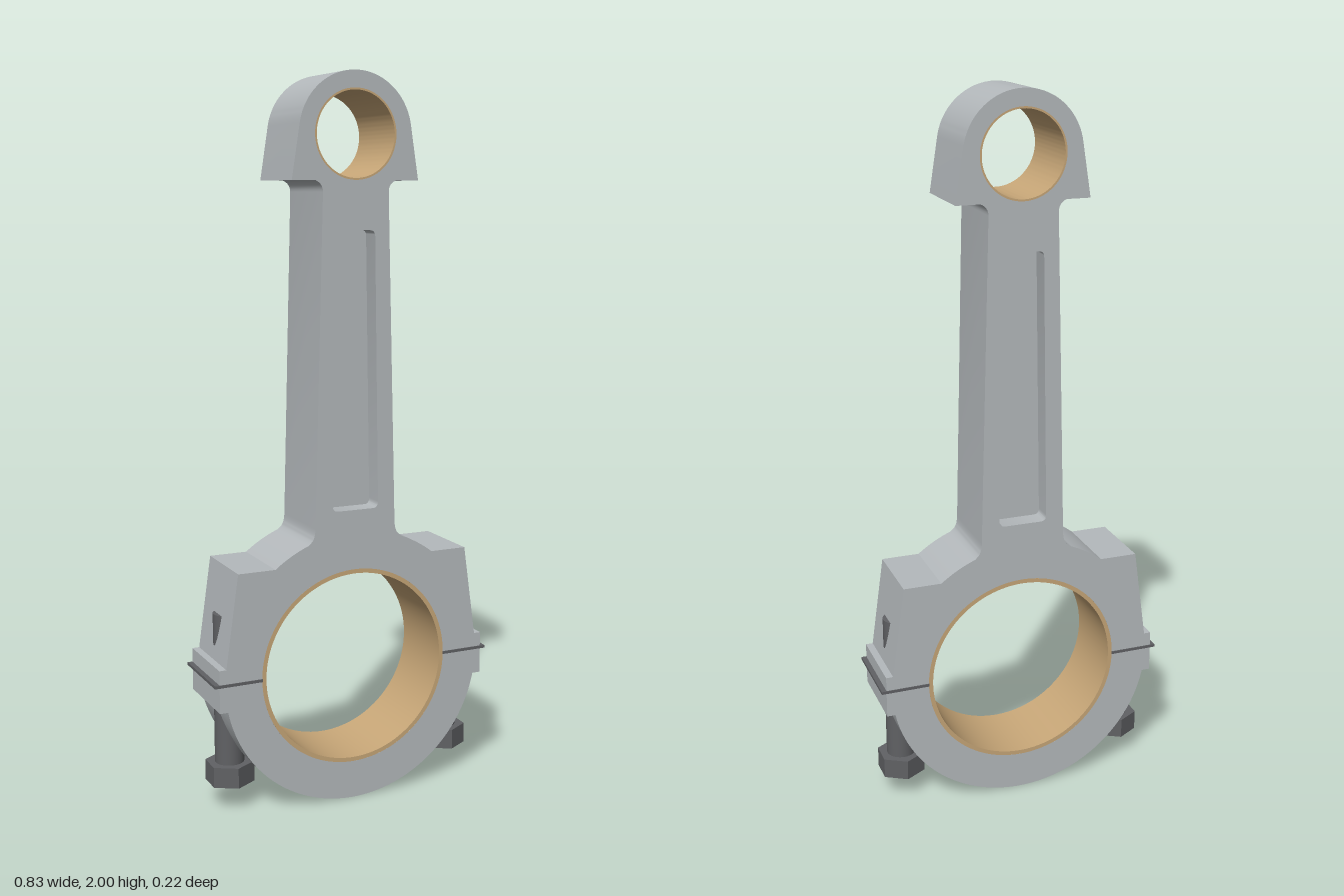
import * as THREE from 'three';
import { toCreasedNormals } from 'three/addons/utils/BufferGeometryUtils.js';

const DEPTH = 0.216;
const BIG_Y = 0.386, BIG_R = 0.386, BORE_R = 0.279;
const SMALL_Y = 1.837, SMALL_R = 0.163, PIN_R = 0.118;

const material = (name, color) => {
  const m = new THREE.MeshStandardMaterial({ color });
  m.name = name;
  return m;
};

// Extrudes a front outline symmetrically about z = 0
function slab(shape, depth) {
  const g = new THREE.ExtrudeGeometry(shape, { depth, bevelEnabled: false, curveSegments: 64 });
  g.translate(0, 0, -depth / 2);
  return toCreasedNormals(g, 0.5);
}

function arcPoints(cy, r, a0, a1, n) {
  return Array.from({ length: n + 1 }, (_, i) => {
    const a = a0 + ((a1 - a0) * i) / n;
    return new THREE.Vector2(r * Math.cos(a), cy + r * Math.sin(a));
  });
}

const v = (x, y) => new THREE.Vector2(x, y);
const fillet = (a, b, c) => new THREE.QuadraticBezierCurve(v(...a), v(...b), v(...c)).getPoints(6);

// Tapered recess outline with small rounded corners
function pocketPoints() {
  const right = [
    ...fillet([0.053, 0.832], [0.069, 0.832], [0.0685, 0.85]),
    ...fillet([0.0565, 1.572], [0.056, 1.588], [0.04, 1.588]),
  ];
  return [...right, ...right.map((p) => v(-p.x, p.y)).reverse()];
}

function rodShape() {
  // Right half of the outline, from the parting line up to the crown
  const right = [
    v(0.402, BIG_Y), v(0.402, 0.43), v(0.382, 0.43), v(0.345, 0.69),
    ...arcPoints(BIG_Y, BIG_R, 0.907, 1.2, 12),
    ...fillet([0.133, 0.752], [0.121, 0.762], [0.12, 0.79]),
    ...fillet([0.096, 1.688], [0.096, 1.709], [0.117, 1.718]),
    v(0.184, 1.718),
    ...arcPoints(SMALL_Y, SMALL_R, 0.16, Math.PI / 2, 24),
  ];
  const left = right.slice(0, -1).map((p) => v(-p.x, p.y)).reverse();
  const s = new THREE.Shape([...right, ...left]);
  s.absarc(0, BIG_Y, BORE_R, Math.PI, 0, true);
  s.holes.push(
    new THREE.Path().absarc(0, SMALL_Y, PIN_R, 0, Math.PI * 2, true),
    new THREE.Path(pocketPoints())
  );
  return s;
}

function capShape() {
  const a = 0.198;
  const s = new THREE.Shape();
  s.absarc(0, BIG_Y, BORE_R, Math.PI, Math.PI * 2, false);
  s.lineTo(0.402, BIG_Y);
  s.lineTo(0.402, 0.31);
  s.absarc(0, BIG_Y, BIG_R, -a, a - Math.PI, true);
  s.lineTo(-0.402, 0.31);
  s.lineTo(-0.402, BIG_Y);
  return s;
}

function ringShape(y, outer, inner) {
  const s = new THREE.Shape().absarc(0, y, outer, 0, Math.PI * 2, false);
  s.holes.push(new THREE.Path().absarc(0, y, inner, 0, Math.PI * 2, true));
  return s;
}

export function createModel() {
  const steel = material('forged steel', 0xb4b9bc);
  const bronze = material('bearing bronze', 0xc8a778);
  const dark = material('dark bolt steel', 0x606164);

  const model = new THREE.Group();
  model.name = 'connectingRod';
  const add = (parent, name, geometry, mat) => {
    const mesh = new THREE.Mesh(geometry, mat);
    mesh.name = name;
    parent.add(mesh);
    return mesh;
  };

  // Rod body, recessed web and bearing cap
  add(model, 'rodBody', slab(rodShape(), DEPTH), steel);
  add(model, 'shankWeb', slab(new THREE.Shape(pocketPoints()), 0.106), steel);
  add(model, 'bearingCap', slab(capShape(), DEPTH), steel);

  // Bearing shell and pin bushing
  add(model, 'bearingShell', slab(ringShape(BIG_Y, BORE_R, 0.267), DEPTH), bronze);
  add(model, 'pinBushing', slab(ringShape(SMALL_Y, PIN_R, 0.113), DEPTH), bronze);

  // Parting plates and cap bolts on both sides
  for (const side of [1, -1]) {
    const label = side > 0 ? 'left' : 'right';
    const plate = add(model, label + 'PartingPlate', new THREE.BoxGeometry(0.138, 0.008, 0.221), dark);
    plate.position.set(side * 0.347, BIG_Y, 0);

    const bolt = new THREE.Group();
    bolt.name = label + 'CapBolt';
    bolt.position.x = side * 0.336;
    const shaft = add(bolt, 'boltShaft', new THREE.CylinderGeometry(0.041, 0.041, 0.455, 32), dark);
    shaft.position.y = 0.3275;
    const headGeometry = toCreasedNormals(new THREE.CylinderGeometry(0.069, 0.069, 0.058, 6), 0.3);
    const head = add(bolt, 'boltHead', headGeometry, dark);
    head.position.y = 0.099;
    model.add(bolt);
  }
  return model;
}
